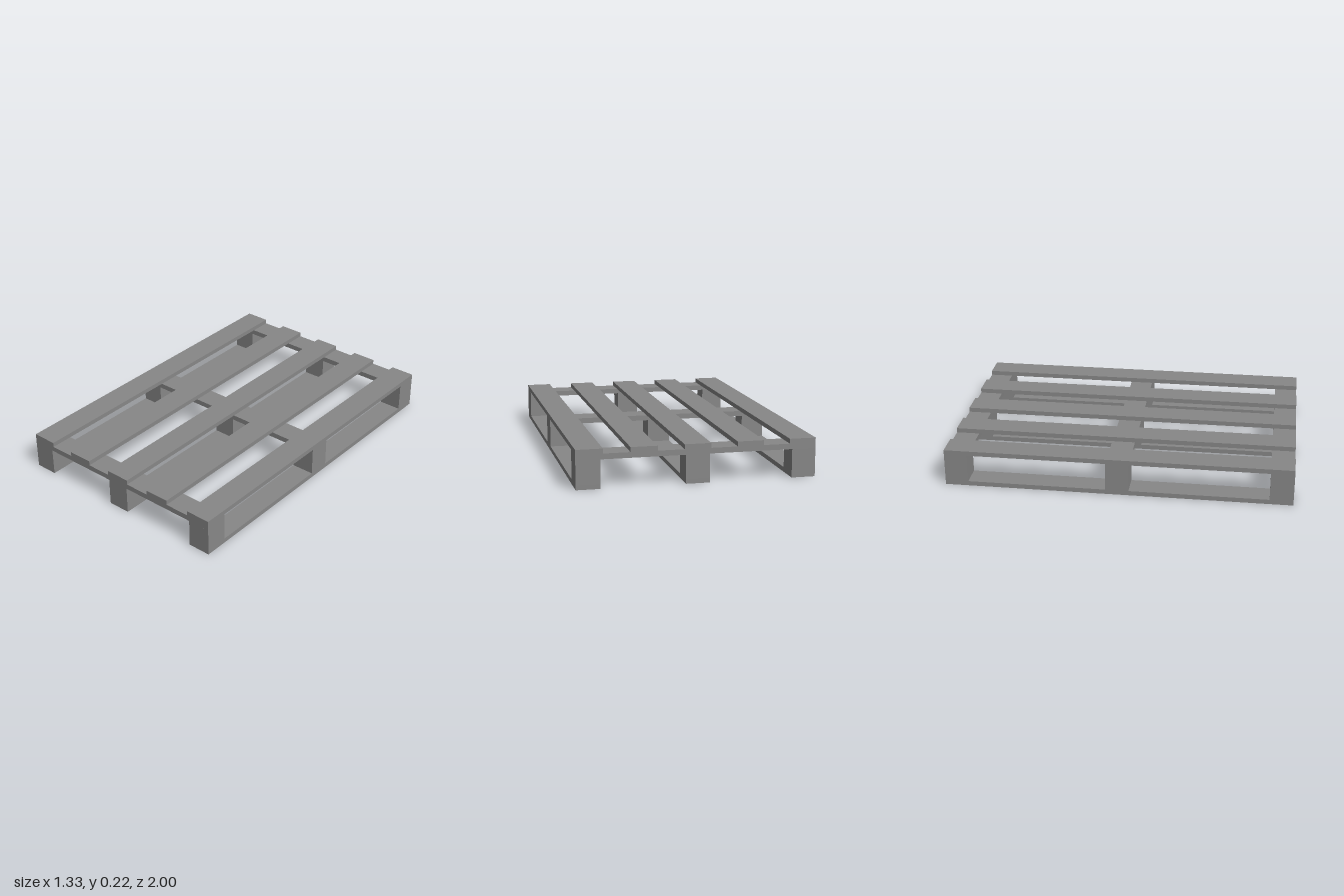
import * as THREE from 'three';

export function createModel() {
  const group = new THREE.Group();
  group.name = 'pallet';
  const material = new THREE.MeshStandardMaterial({ color: 0x888888, flatShading: true });

  // Box spanning heights y0 to y1, centred on x and z
  function board(name, width, depth, y0, y1, x, z) {
    const mesh = new THREE.Mesh(new THREE.BoxGeometry(width, y1 - y0, depth), material);
    mesh.name = name;
    mesh.position.set(x, (y0 + y1) / 2, z);
    group.add(mesh);
  }

  const halfWidth = 0.665;
  const beam = 0.134; // width of runners, blocks and cross boards
  const slat = 0.148;
  const runnerTop = 0.027, blockTop = 0.16, crossTop = 0.191, slatTop = 0.218;

  for (const i of [-1, 0, 1]) {
    const x = i * (halfWidth - beam / 2);
    const z = i * (1 - beam / 2);

    // Bottom runner along the length, cross board across the width
    board('bottomRunner', beam, 2, 0, runnerTop, x, 0);
    board('crossBoard', halfWidth * 2, beam, blockTop, crossTop, 0, z);

    // Spacer blocks between them
    for (const j of [-1, 0, 1]) {
      board('spacerBlock', beam, beam, runnerTop, blockTop, x, j * (1 - beam / 2));
    }
  }

  // Five top slats
  for (let i = -2; i <= 2; i++) {
    board('topSlat', slat, 2, crossTop, slatTop, (i / 2) * (halfWidth - slat / 2), 0);
  }

  return group;
}
